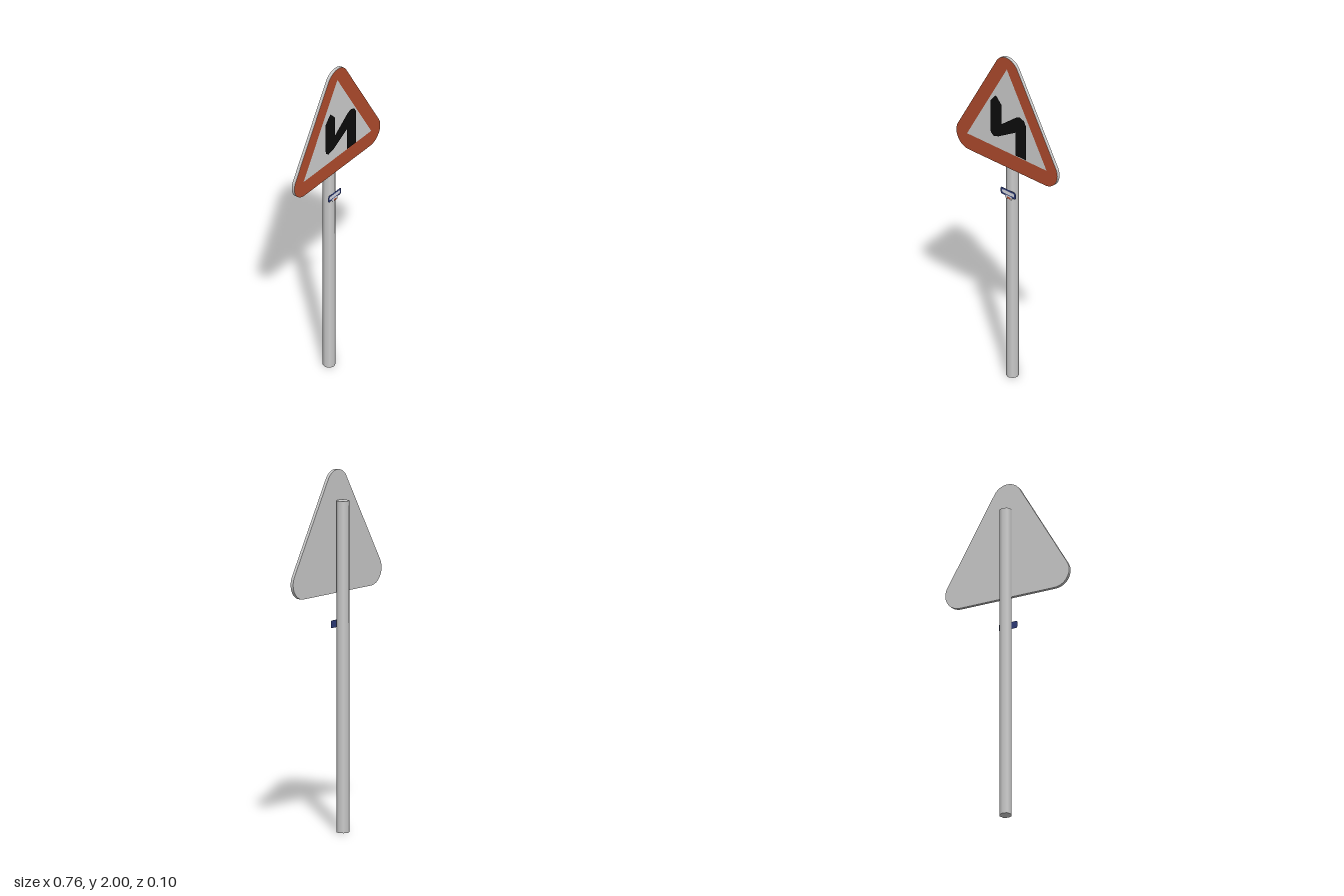
import * as THREE from 'three';

const material = (name, color, side = THREE.FrontSide) => {
  const m = new THREE.MeshStandardMaterial({ color, side });
  m.name = name;
  return m;
};

// Rounded triangle: arcs of radius r about three corner centres
function roundedTriangle(r) {
  const s = new THREE.Shape();
  const corners = [[0.29, 1.41, -90], [0, 1.91, 30], [-0.29, 1.41, 150]];
  for (const [x, y, a] of corners) {
    s.absarc(x, y, r, THREE.MathUtils.degToRad(a), THREE.MathUtils.degToRad(a + 120), false);
  }
  s.closePath();
  return s;
}

const polygon = (pts) => new THREE.Shape(pts.map(([x, y]) => new THREE.Vector2(x, y)));

function roundedRect(x, y, w, h, r) {
  const s = new THREE.Shape();
  s.absarc(x + w / 2 - r, y - h / 2 + r, r, -Math.PI / 2, 0, false);
  s.absarc(x + w / 2 - r, y + h / 2 - r, r, 0, Math.PI / 2, false);
  s.absarc(x - w / 2 + r, y + h / 2 - r, r, Math.PI / 2, Math.PI, false);
  s.absarc(x - w / 2 + r, y - h / 2 + r, r, Math.PI, Math.PI * 1.5, false);
  s.closePath();
  return s;
}

export function createModel() {
  const group = new THREE.Group();
  const grey = material('galvanised grey', 0xcacaca);
  const white = material('sign white', 0xd2d2d2);
  const red = material('border red', 0xb44d2e);
  const black = material('symbol black', 0x0d0d0d, THREE.DoubleSide);
  const blue = material('badge blue', 0x2c3a78, THREE.DoubleSide);
  const pale = material('badge pale', 0xe4e6ee);

  const add = (name, geometry, mat, z = 0) => {
    const mesh = new THREE.Mesh(geometry, mat);
    mesh.name = name;
    mesh.position.z = z;
    group.add(mesh);
    return mesh;
  };
  const face = (name, shape, mat, z) => add(name, new THREE.ShapeGeometry(shape, 10), mat, z);

  // Eight-sided pole behind the plate
  const pole = add('pole', new THREE.CylinderGeometry(0.035, 0.035, 1.83, 8), grey);
  pole.position.set(-0.007, 0.915, -0.015);

  // Metal plate
  add('signPlate', new THREE.ExtrudeGeometry(roundedTriangle(0.09), {
    depth: 0.018, bevelEnabled: false, curveSegments: 10,
  }), grey, 0.018);

  // Painted border and inner field
  const inner = [[-0.3, 1.415], [0.3, 1.415], [0, 1.93]];
  const border = roundedTriangle(0.09);
  border.holes.push(new THREE.Path(polygon(inner).getPoints().reverse()));
  face('redBorder', border, red, 0.037);
  face('whiteField', polygon(inner), white, 0.037);

  // Double-bend symbol: two uprights with a raised diagonal between them
  face('bendSymbol', polygon([
    [-0.116, 1.696], [-0.074, 1.744], [-0.032, 1.7], [-0.032, 1.579],
    [0.079, 1.664], [0.106, 1.675], [0.138, 1.664], [0.153, 1.637],
    [0.153, 1.426], [0.074, 1.426], [0.074, 1.569], [-0.058, 1.494],
    [-0.09, 1.484], [-0.111, 1.5], [-0.116, 1.521],
  ]), black, 0.046);
  face('bendDiagonal', polygon([
    [-0.08, 1.542], [-0.032, 1.579], [0.079, 1.664], [0.085, 1.575],
    [0.074, 1.569], [-0.058, 1.494],
  ]), black, 0.0495);

  // Small plain badge on the pole
  face('badge', roundedRect(-0.004, 1.15, 0.114, 0.042, 0.01), blue, 0.021);
  face('badgeTab', roundedRect(-0.002, 1.124, 0.05, 0.022, 0.008), pale, 0.0213);
  face('badgePanel', roundedRect(-0.004, 1.15, 0.09, 0.02, 0.006), pale, 0.0217);
  face('badgeSpot', roundedRect(0, 1.122, 0.024, 0.012, 0.004), red, 0.022);

  return group;
}
